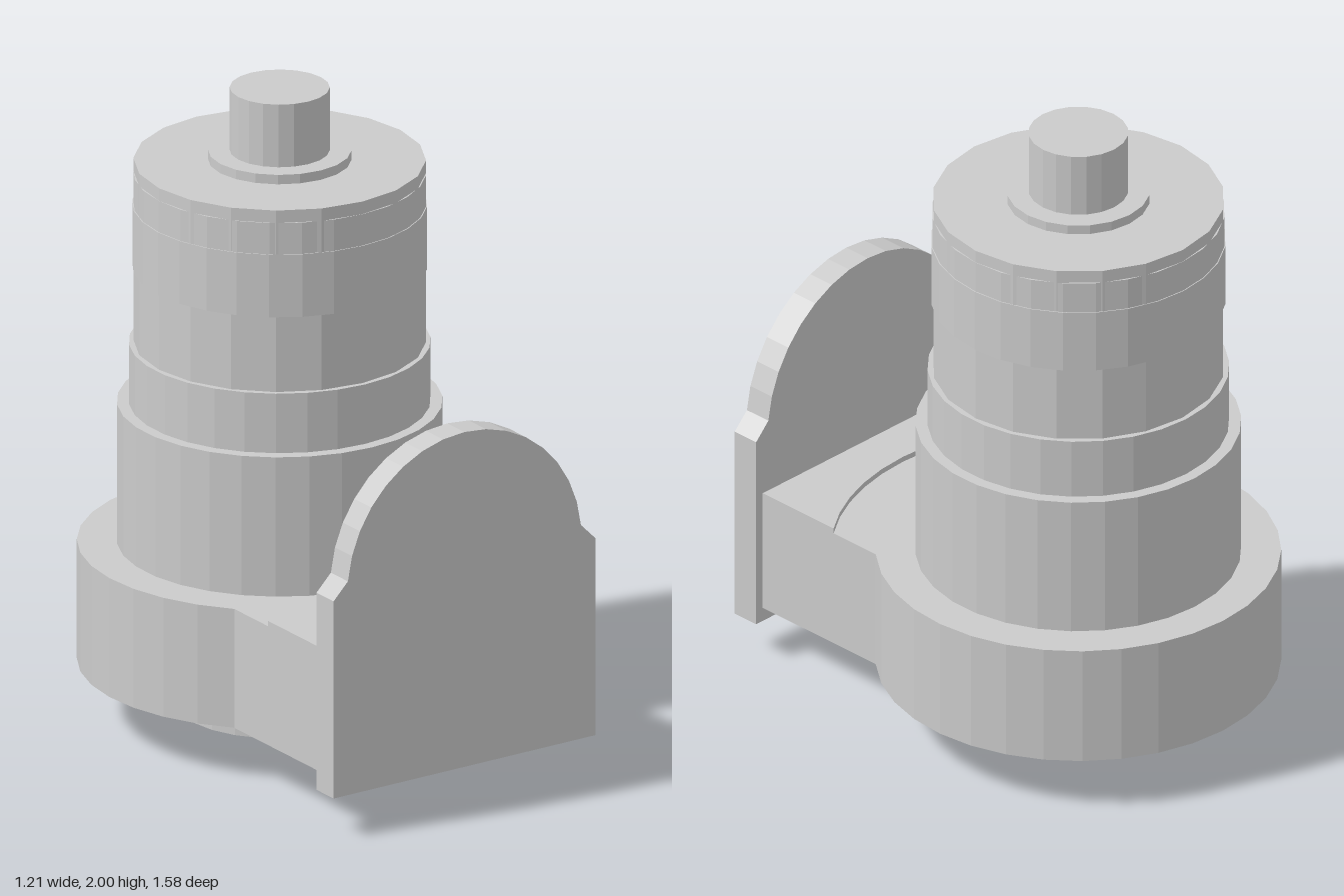
import * as THREE from 'three';

const AXIS_Z = -0.185;   // the round body stands behind the centre
const ARM_X = 0.447, ARM_Z = 0.7;

const material = new THREE.MeshStandardMaterial({ color: 0xcccccc, flatShading: true });

function add(group, name, geometry) {
  const mesh = new THREE.Mesh(geometry, material);
  mesh.name = name;
  group.add(mesh);
}

// Points on a circle about the body axis, in plan (x, -z)
function planArc(radius, from, to, steps) {
  return Array.from({ length: steps + 1 }, (_, i) => {
    const a = from + (to - from) * i / steps;
    return new THREE.Vector2(radius * Math.cos(a), -AXIS_Z + radius * Math.sin(a));
  });
}

// Extrudes a plan outline upwards from y0 to y1
function slab(points, y0, y1) {
  const g = new THREE.ExtrudeGeometry(new THREE.Shape(points), { depth: y1 - y0, bevelEnabled: false });
  return g.rotateX(-Math.PI / 2).translate(0, y0, 0);
}

export function createModel() {
  const group = new THREE.Group();
  group.name = 'motorUnit';

  // Stacked round sections: name, radius, bottom, top, sides
  const sections = [
    ['bottomBoss', 0.19, 0, 0.035, 20],
    ['bottomCollar', 0.312, 0.035, 0.175, 24],
    ['lowerHousing', 0.488, 0.555, 1.0, 30],
    ['middleHousing', 0.452, 1.0, 1.19, 30],
    ['upperHousing', 0.438, 1.19, 1.77, 20],
    ['wideBand', 0.442, 1.43, 1.63, 28],
    ['narrowBand', 0.439, 1.63, 1.73, 28],
    ['topCollar', 0.215, 1.77, 1.8, 20],
    ['shaft', 0.15, 1.8, 2.0, 20],
  ];
  for (const [name, r, y0, y1, sides] of sections) {
    add(group, name, new THREE.CylinderGeometry(r, r, y1 - y0, sides)
      .translate(0, (y0 + y1) / 2, AXIS_Z));
  }

  // Round base flange running forward into a straight arm
  const flangeR = 0.607;
  const a = Math.acos(ARM_X / flangeR);
  add(group, 'baseAndArm', slab([
    new THREE.Vector2(-ARM_X, -ARM_Z),
    new THREE.Vector2(ARM_X, -ARM_Z),
    ...planArc(flangeR, -a, Math.PI + a, 24),
  ], 0.175, 0.555));

  // Slightly raised pad on the arm, hollowed by an arc around the body
  const padR = 0.738;
  const b = Math.acos(ARM_X / padR);
  add(group, 'armPad', slab([
    new THREE.Vector2(-ARM_X, -ARM_Z),
    new THREE.Vector2(ARM_X, -ARM_Z),
    ...planArc(padR, -b, b - Math.PI, 10),
  ], 0.555, 0.572));

  // Upright front plate with shoulders and a rounded top
  const outline = [
    new THREE.Vector2(-0.475, 0.13),
    new THREE.Vector2(0.475, 0.13),
    new THREE.Vector2(0.475, 0.76),
  ];
  for (let i = 0; i <= 16; i++) {
    const t = 0.1 + (Math.PI - 0.2) * i / 16;
    outline.push(new THREE.Vector2(0.425 * Math.cos(t), 0.77 + 0.43 * Math.sin(t)));
  }
  outline.push(new THREE.Vector2(-0.475, 0.76));
  add(group, 'frontPlate', new THREE.ExtrudeGeometry(new THREE.Shape(outline),
    { depth: 0.09, bevelEnabled: false }).translate(0, 0, ARM_Z));

  return group;
}
